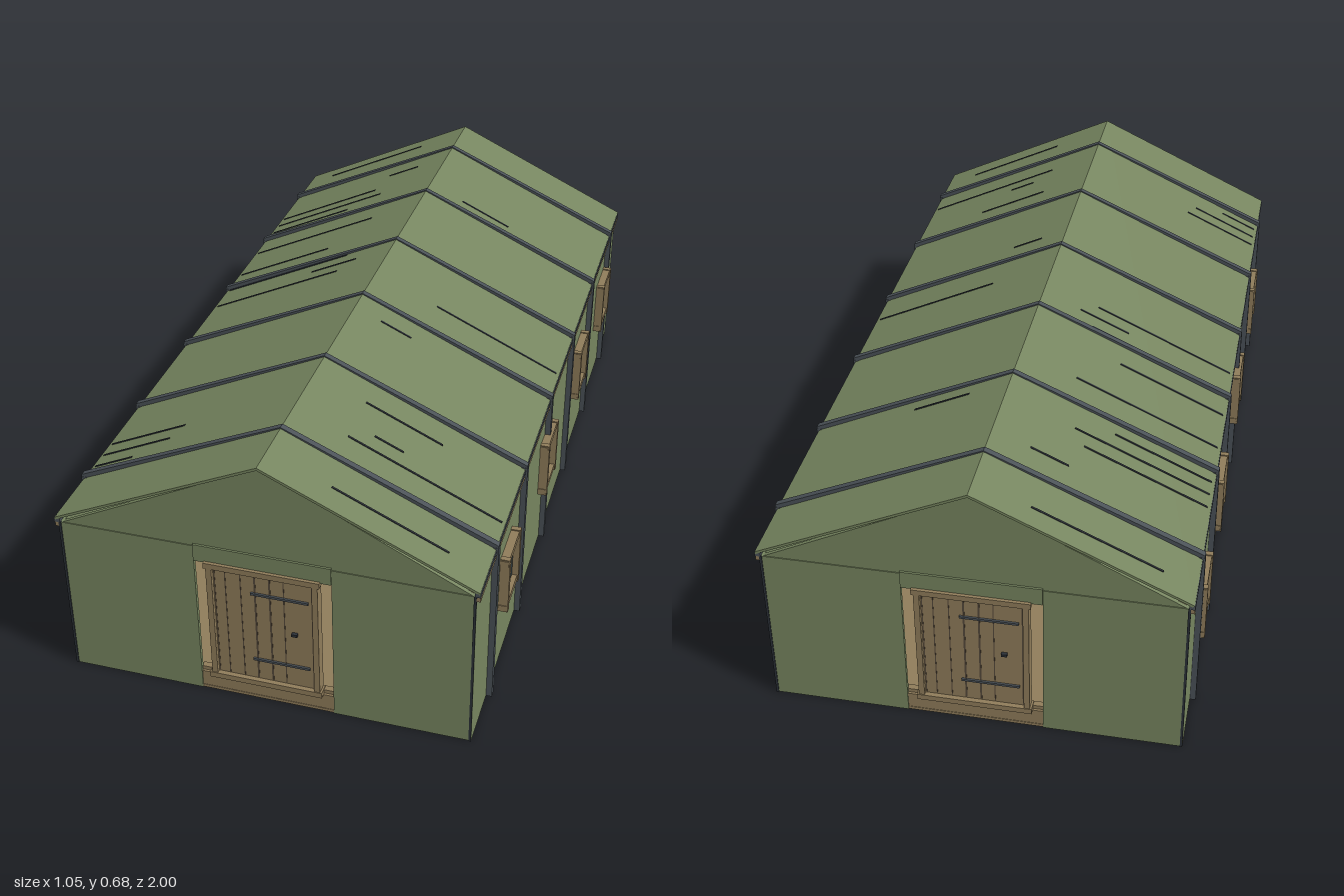
import * as THREE from 'three';

const mat = (name, color) => Object.assign(new THREE.MeshStandardMaterial({ color }), { name });

export function createModel() {
  const canvas = mat('canvas green', 0x76855f);
  const wood = mat('wood', 0x8f7c5a);
  const darkWood = mat('dark wood', 0x54483a);
  const steel = mat('steel', 0x4a5157);
  const dark = mat('dark seam', 0x2a2f36);
  const glass = mat('window glass', 0x2c3638);
  const model = new THREE.Group();
  model.name = 'fieldBarrack';

  // box given by its low and high limits on each axis
  function box(parent, name, m, x0, x1, y0, y1, z0, z1) {
    const mesh = new THREE.Mesh(new THREE.BoxGeometry(x1 - x0, y1 - y0, z1 - z0), m);
    mesh.position.set((x0 + x1) / 2, (y0 + y1) / 2, (z0 + z1) / 2);
    mesh.name = name;
    parent.add(mesh);
    return mesh;
  }
  // x-y outline extruded along z
  function prism(parent, name, m, points, z0, z1) {
    const shape = new THREE.Shape(points.map(([x, y]) => new THREE.Vector2(x, y)));
    const geo = new THREE.ExtrudeGeometry(shape, { depth: z1 - z0, bevelEnabled: false });
    const mesh = new THREE.Mesh(geo, m);
    mesh.position.z = z0;
    mesh.name = name;
    parent.add(mesh);
  }
  // bent section running from eave to eave over the ridge
  const gableBand = (ridge, eave, half, t) => [
    [half, eave - t], [half, eave], [0, ridge], [-half, eave], [-half, eave - t], [0, ridge - t],
  ];
  const roofY = x => 0.68 - 0.465 * Math.abs(x);

  // floor and roof
  box(model, 'floor', wood, -0.5, 0.5, 0, 0.008, -0.985, 0.985);
  prism(model, 'roof', canvas, gableBand(0.68, roofY(0.508), 0.508, 0.007), -0.99, 0.99);

  // thin dark folds lying on the roof: z, x start, x end
  const folds = [
    [-0.93, -0.43, -0.13], [-0.64, -0.5, -0.2], [-0.59, -0.5, -0.17], [-0.54, -0.5, -0.26],
    [-0.395, -0.5, -0.14], [-0.25, -0.5, -0.23], [-0.15, -0.5, -0.14], [-0.05, -0.5, -0.14],
    [0.68, -0.5, -0.3], [0.73, -0.5, -0.32], [0.78, -0.5, -0.4], [-0.735, -0.18, -0.09],
    [-0.1, -0.23, -0.1], [0.045, 0.17, 0.5], [0.58, 0.13, 0.32], [0.73, 0.13, 0.5],
    [0.92, 0.15, 0.42], [-0.54, 0.1, 0.24], [0.24, 0.07, 0.15], [0.68, 0.18, 0.25],
  ];
  for (const [z, a, b] of folds) {
    prism(model, 'roofFold', dark, [
      [a, roofY(a)], [b, roofY(b)], [b, roofY(b) + 0.002], [a, roofY(a) + 0.002],
    ], z - 0.0025, z + 0.0025);
  }

  // steel straps over the roof and posts down the walls
  for (const z of [-0.82, -0.492, -0.164, 0.164, 0.492, 0.82]) {
    prism(model, 'roofStrap', steel, gableBand(0.683, 0.454, 0.514, 0.012), z - 0.008, z + 0.008);
    for (const s of [-1, 1]) {
      const post = box(model, 'wallPost', steel, -0.0085, 0.0085, 0, 0.448, z - 0.009, z + 0.009);
      post.position.x = s * 0.506;
    }
  }

  // window, built facing +z
  function windowUnit() {
    const g = new THREE.Group();
    g.name = 'window';
    box(g, 'pane', glass, -0.057, 0.057, 0.2, 0.322, 0, 0.008);
    for (const s of [-1, 1]) {
      box(g, 'sideBoard', wood, s * 0.061 - 0.007, s * 0.061 + 0.007, 0.182, 0.338, 0, 0.024);
      box(g, 'crossBoard', wood, -0.07, 0.07, 0.26 + s * 0.067 - 0.008, 0.26 + s * 0.067 + 0.008, 0, 0.021);
    }
    return g;
  }

  // long walls, each built facing +z and turned to its side
  for (const s of [-1, 1]) {
    const side = new THREE.Group();
    side.name = s > 0 ? 'leftWall' : 'rightWall';
    box(side, 'wallPanel', canvas, -0.985, 0.985, 0, 0.43, 0.49, 0.5);
    box(side, 'eaveBoard', wood, -0.988, 0.988, 0.418, 0.431, 0.498, 0.509);
    box(side, 'eaveSeam', steel, -0.99, 0.99, 0.431, 0.442, 0.496, 0.51);
    for (const z of [0.66, 0.165, -0.327, -0.737]) {
      const w = windowUnit();
      w.position.set(-s * z, 0, 0.5);
      side.add(w);
    }
    side.rotation.y = s * Math.PI / 2;
    model.add(side);
  }

  // end wall with door, built facing +z
  function endWall(name) {
    const g = new THREE.Group();
    g.name = name;
    prism(g, 'gable', canvas, [[-0.495, 0.428], [0.495, 0.428], [0, 0.675]], 0.975, 0.985);
    box(g, 'header', canvas, -0.166, 0.166, 0.39, 0.436, 0.975, 0.99);
    box(g, 'sill', wood, -0.168, 0.168, 0, 0.05, 0.965, 0.984);
    box(g, 'lowerRail', wood, -0.168, 0.168, 0.052, 0.062, 0.965, 0.98);
    for (const s of [-1, 1]) {
      const panel = box(g, 'endPanel', canvas, -0.167, 0.167, 0, 0.43, 0.977, 0.987);
      panel.position.x = s * 0.333;
      const trim = box(g, 'cornerTrim', dark, -0.003, 0.003, 0, 0.43, 0.98, 0.989);
      trim.position.x = s * 0.497;
      box(g, 'doorJamb', wood, s * 0.128 - 0.007, s * 0.128 + 0.007, 0.05, 0.39, 0.968, 0.996);
    }
    box(g, 'lintel', wood, -0.14, 0.14, 0.379, 0.394, 0.968, 0.998);
    box(g, 'threshold', wood, -0.14, 0.14, 0.05, 0.065, 0.968, 0.998);
    // door leaf with plank joints, hinge bars and handle
    box(g, 'doorLeaf', wood, -0.122, 0.122, 0.064, 0.38, 0.972, 0.986);
    for (const x of [-0.092, -0.055, -0.02, 0.016, 0.05, 0.118, -0.118]) {
      const w = Math.abs(x) < 0.03 ? 0.0022 : 0.0012;
      box(g, 'plankJoint', darkWood, x - w, x + w, 0.068, 0.378, 0.985, 0.987);
    }
    for (const y of [0.125, 0.322]) box(g, 'hingeBar', steel, -0.03, 0.11, y - 0.003, y + 0.003, 0.985, 0.991);
    box(g, 'handle', dark, 0.068, 0.082, 0.22, 0.227, 0.985, 0.995);
    return g;
  }
  model.add(endWall('frontWall'));
  const back = endWall('backWall');
  back.rotation.y = Math.PI;
  model.add(back);

  return model;
}
